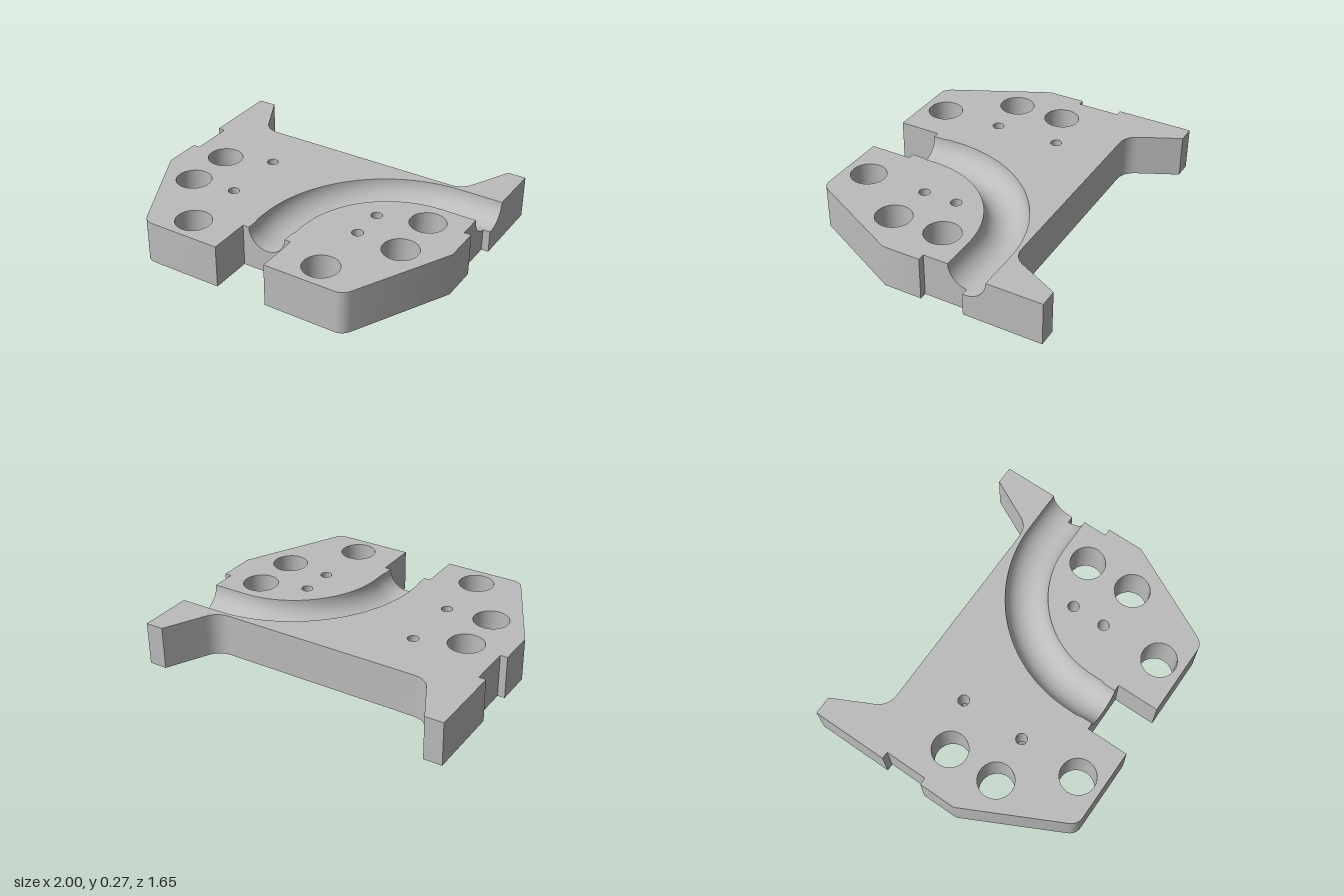
import * as THREE from 'three';
import { mergeGeometries, toCreasedNormals } from 'three/addons/utils/BufferGeometryUtils.js';

const H = 0.273;                       // plate thickness
const R = 0.132, R_END = 0.124;        // channel radius, and at the front mouth
const GZ = -0.348, BEND = 0.73;        // channel line at the side exit, bend radius
const SLOT_Z = 0.556, NOTCH_X = 0.955, NOTCH_Z = -0.334;
const POCKET = 0.1;                    // depth of the hexagonal pockets

const mirror = (pts) => pts.map(([x, z]) => [-x, z]).reverse();
const range = (n, f) => Array.from({ length: n + 1 }, (_, i) => f(i / n));

// Rounded corner c between neighbours a and b, starting t before the corner
function fillet(a, c, b, t) {
  const toward = (p) => {
    const d = new THREE.Vector2(p[0] - c[0], p[1] - c[1]).setLength(t);
    return new THREE.Vector2(c[0] + d.x, c[1] + d.y);
  };
  const curve = new THREE.QuadraticBezierCurve(toward(a), new THREE.Vector2(...c), toward(b));
  return curve.getPoints(10).map((p) => [p.x, p.y]);
}

// Closed ring of points in plan; its wall faces the centre
const ring = ([x, z], r, n) => range(n, (t) => [x + r * Math.cos(t * 2 * Math.PI), z + r * Math.sin(t * 2 * Math.PI)]);

function fromTriangles(pos, crease = 0.5) {
  const g = new THREE.BufferGeometry();
  g.setAttribute('position', new THREE.Float32BufferAttribute(pos, 3));
  g.computeVertexNormals();
  return toCreasedNormals(g, crease);
}

// Upright wall along [x, z, top] points
function wall(pts, y0, y1) {
  const pos = [];
  for (let i = 0; i < pts.length - 1; i++) {
    const [ax, az, at = y1] = pts[i], [bx, bz, bt = y1] = pts[i + 1];
    if (Math.hypot(bx - ax, bz - az) < 1e-6) continue;
    pos.push(ax, y0, az, bx, y0, bz, bx, bt, bz, ax, y0, az, bx, bt, bz, ax, at, az);
  }
  return fromTriangles(pos);
}

// Flat face with holes, facing up or down
function cap(pts, holes, y, up) {
  const s = up ? -1 : 1;
  const flat = (list) => list.map(([x, z]) => new THREE.Vector2(x, s * z));
  const shape = new THREE.Shape(flat(pts));
  shape.holes = holes.map((h) => new THREE.Path(flat(h.slice(0, -1))));
  return new THREE.ShapeGeometry(shape).rotateX((s * Math.PI) / 2).translate(0, y, 0);
}

// Round-bottomed channel through stations { x, z, nx, nz, r }
function trough(rows, aMax) {
  const pos = [], N = 24;
  const at = (s, j) => {
    const a = (aMax * j) / N, c = s.r * Math.cos(a);
    return [s.x + s.nx * c, H - s.r * Math.sin(a), s.z + s.nz * c];
  };
  for (let i = 0; i < rows.length - 1; i++) {
    for (let j = 0; j < N; j++) {
      const a = at(rows[i], j), b = at(rows[i], j + 1), c = at(rows[i + 1], j + 1), d = at(rows[i + 1], j);
      pos.push(...a, ...b, ...d, ...b, ...c, ...d);
    }
  }
  return fromTriangles(pos, 0.7);
}

export function createModel() {
  const group = new THREE.Group();
  const grey = new THREE.MeshStandardMaterial({ color: 0xbcbcbc });
  grey.name = 'grey';
  const add = (name, geometry) => {
    const mesh = new THREE.Mesh(geometry, grey);
    mesh.name = name;
    group.add(mesh);
  };

  // Channel stations: front mouth, taper, bend, side exit
  const straight = (z, r) => ({ x: 0, z, nx: -1, nz: 0, r });
  const bend = range(40, (t) => {
    const a = (t * Math.PI) / 2, nx = -Math.cos(a), nz = -Math.sin(a);
    return { x: BEND + BEND * nx, z: GZ + BEND + BEND * nz, nx, nz, r: R };
  });
  const exit = (x) => ({ x, z: GZ, nx: 0, nz: -1, r: R });
  const rows = [straight(SLOT_Z, R_END), straight(0.49, R_END), straight(0.45, R), ...bend, exit(NOTCH_X)];
  const aNotch = Math.acos((GZ - NOTCH_Z) / R);
  const edge = (list, side) => list.map((s) => [s.x + side * s.nx * s.r, s.z + side * s.nz * s.r]);

  // Plan outline, right half
  const backHalf = [[1, -0.826], [0.885, -0.826], ...fillet([0.885, -0.826], [0.722, -0.5], [0, -0.5], 0.085)];
  const frontHalf = [
    [0.165, SLOT_Z], [0.165, 0.826],
    ...fillet([0.165, 0.826], [0.676, 0.826], [1, 0.179], 0.055),
    [1, 0.179], [1, -0.06], [NOTCH_X, -0.06],
  ];
  const outerPart = [
    ...backHalf, ...mirror(backHalf),
    [-1, NOTCH_Z], [-NOTCH_X, NOTCH_Z], ...mirror(frontHalf),
  ];
  // Channel mouths cut the tops of the walls
  const frontMouth = range(24, (t) => [-R_END * Math.cos(t * Math.PI), SLOT_Z, H - R_END * Math.sin(t * Math.PI)]);
  const sideMouth = (x, a0, a1) => range(14, (t) => {
    const a = a0 + (a1 - a0) * t;
    return [x, GZ - R * Math.cos(a), H - R * Math.sin(a)];
  });
  const outline = [
    ...outerPart, ...frontMouth, ...frontHalf,
    ...sideMouth(NOTCH_X, Math.PI, aNotch), ...sideMouth(1, aNotch, 0),
  ];

  // Bolt holes and small screw holes
  const bolts = [[0.73, -0.042], [0.73, 0.288], [0.44, 0.668]].flatMap(([x, z]) => [[x, z], [-x, z]]);
  const screws = [[-0.44, -0.152], [-0.44, 0.268], [0.437, 0.048], [0.437, 0.268]];
  const boltRing = (p) => ring(p, 0.111, 40);
  const screwRing = (p) => ring(p, 0.035, 20);
  const hexRing = (p) => ring(p, 0.05, 6);
  const topHoles = (side) => [
    ...bolts.filter((p) => p[0] * side > 0).map(boltRing),
    ...screws.filter((p) => p[0] * side > 0).map(screwRing),
  ];

  add('plateWalls', wall([...outline, outline[0]], 0, H));
  add('outerTop', cap([...outerPart, ...edge([...rows, exit(1)], 1)], topHoles(-1), H, true));
  add('innerTop', cap([...frontHalf, ...edge(rows, -1).reverse()], topHoles(1), H, true));
  add('underside', cap(outline, [...bolts.map(boltRing), ...screws.map(hexRing)], 0, false));
  add('curvedChannel', trough(rows, Math.PI));
  add('channelExit', trough([exit(NOTCH_X), exit(1)], aNotch));
  add('boltHoles', mergeGeometries(bolts.map((p) => wall(boltRing(p), 0, H))));
  add('screwHoles', mergeGeometries(screws.map((p) => wall(screwRing(p), POCKET, H))));
  add('nutPockets', mergeGeometries(screws.map((p) => wall(hexRing(p), 0, POCKET))));
  add('pocketCeilings', mergeGeometries(screws.map((p) => cap(hexRing(p).slice(0, -1), [screwRing(p)], POCKET, false))));
  return group;
}
